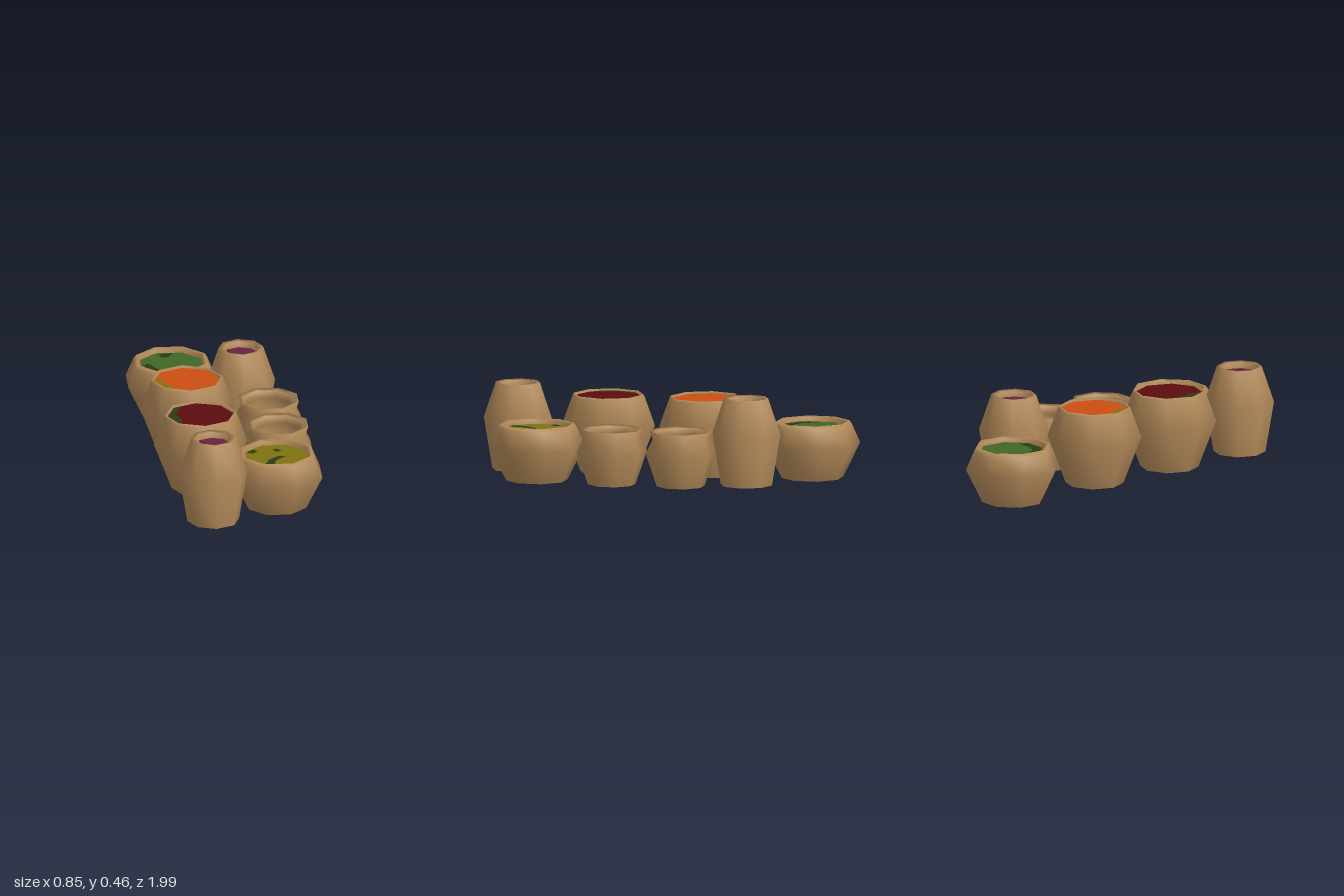
import * as THREE from 'three';

const mat = (name, color) => {
  const m = new THREE.MeshStandardMaterial({ color });
  m.name = name;
  return m;
};

export function createModel() {
  const clay = mat('clay', 0xb48b5a);
  const green = mat('green', 0x426626);
  const darkGreen = mat('dark green', 0x263c12);
  const olive = mat('olive', 0x7e7212);
  const orange = mat('orange', 0xcc4e12);
  const red = mat('dark red', 0x5c0d10);
  const purple = mat('purple', 0x6a223e);

  // Outer wall from the foot up, over the rim and down the inside: [radius, height]
  const bowl = [[0.163, 0], [0.252, 0.18], [0.208, 0.28], [0.195, 0.298], [0.178, 0.29], [0.176, 0.25]];
  const barrel = [[0.153, 0], [0.247, 0.25], [0.192, 0.402], [0.186, 0.412], [0.176, 0.405], [0.174, 0.38]];
  const tall = [[0.137, 0], [0.182, 0.27], [0.118, 0.46], [0.092, 0.455], [0.09, 0.41]];
  const cup = [[0.127, 0], [0.186, 0.175], [0.149, 0.25], [0.165, 0.292], [0.138, 0.285],
    [0.126, 0.25], [0.16, 0.175], [0.11, 0.03], [0, 0.03]];

  // Position, turn, shape, fill (height, radius, colour) and patches of a second colour
  const turn = 0.33;
  const pots = [
    { name: 'bowlBack', x: -0.184, z: -0.763, turn, profile: bowl, fill: [0.27, 0.177, green], second: darkGreen,
      patches: [
        [[-0.05, -0.14], [0.03, -0.155], [0.0, -0.1], [-0.04, -0.09]],
        [[-0.15, 0.01], [-0.12, -0.02], [-0.08, 0.07], [-0.03, 0.1], [0.07, 0.11], [0.06, 0.15], [-0.06, 0.145], [-0.12, 0.1]],
      ] },
    { name: 'bowlFront', x: 0.18, z: 0.638, turn, profile: bowl, fill: [0.27, 0.177, olive], second: darkGreen,
      patches: [
        [[-0.085, 0.145], [-0.05, 0.05], [0.01, 0.0], [0.045, 0.01], [-0.01, 0.06], [-0.04, 0.15]],
        [[-0.15, -0.07], [-0.11, -0.11], [-0.09, -0.08], [-0.12, -0.05]],
        [[-0.015, 0.155], [0.005, 0.12], [0.03, 0.125], [0.025, 0.155]],
        [[-0.01, -0.09], [0.015, -0.105], [0.035, -0.07], [0.01, -0.06]],
      ] },
    { name: 'barrelBack', x: -0.18, z: -0.193, turn: 0, profile: barrel, fill: [0.401, 0.175, orange], second: olive,
      patches: [[[-0.168, 0], [-0.152, -0.04], [-0.13, 0.03], [-0.09, 0.1], [-0.08, 0.13], [-0.12, 0.115]]] },
    { name: 'barrelFront', x: -0.18, z: 0.325, turn: 0, profile: barrel, fill: [0.401, 0.175, red], second: darkGreen,
      patches: [[[-0.17, 0], [-0.12, -0.12], [-0.09, -0.13], [-0.125, -0.03], [-0.105, 0.06], [-0.12, 0.12]]] },
    { name: 'tallBack', x: 0.143, z: -0.473, turn: 0, profile: tall, fill: [0.425, 0.091, purple], second: red,
      patches: [[[-0.088, 0], [-0.06, -0.05], [-0.055, 0.01], [-0.02, 0.05], [-0.02, 0.078], [-0.062, 0.062]]] },
    { name: 'tallFront', x: -0.18, z: 0.81, turn: 0, profile: tall, fill: [0.425, 0.091, purple], second: red,
      patches: [[[-0.088, 0], [-0.06, -0.05], [-0.055, 0.01], [-0.02, 0.05], [-0.02, 0.078], [-0.062, 0.062]]] },
    { name: 'cupBack', x: 0.246, z: -0.143, turn, profile: cup },
    { name: 'cupFront', x: 0.246, z: 0.225, turn, profile: cup },
  ];

  const model = new THREE.Group();
  model.name = 'pots';

  const add = (parent, name, geometry, material) => {
    const mesh = new THREE.Mesh(geometry, material);
    mesh.name = name;
    parent.add(mesh);
    return mesh;
  };

  for (const p of pots) {
    const pot = new THREE.Group();
    pot.name = p.name;
    pot.position.set(p.x, 0, p.z);
    model.add(pot);

    // Eight-sided wall and closed foot
    const points = p.profile.map(([r, y]) => new THREE.Vector2(r, y));
    add(pot, 'wall', new THREE.LatheGeometry(points, 8), clay).rotation.y = p.turn;
    const foot = new THREE.CircleGeometry(p.profile[0][0], 8).rotateX(Math.PI / 2);
    add(pot, 'foot', foot, clay).rotation.y = p.turn;

    // Coloured filling just below the rim
    if (!p.fill) continue;
    const [height, radius, color] = p.fill;
    const filling = add(pot, 'filling', new THREE.CircleGeometry(radius, 8).rotateX(-Math.PI / 2), color);
    filling.position.y = height;
    filling.rotation.y = p.turn;

    // Flat patches showing the second colour
    for (const outline of p.patches) {
      const shape = new THREE.Shape(outline.map(([x, z]) => new THREE.Vector2(x, -z)));
      const patch = add(pot, 'patch', new THREE.ShapeGeometry(shape).rotateX(-Math.PI / 2), p.second);
      patch.position.y = height + 0.003;
    }
  }
  return model;
}
